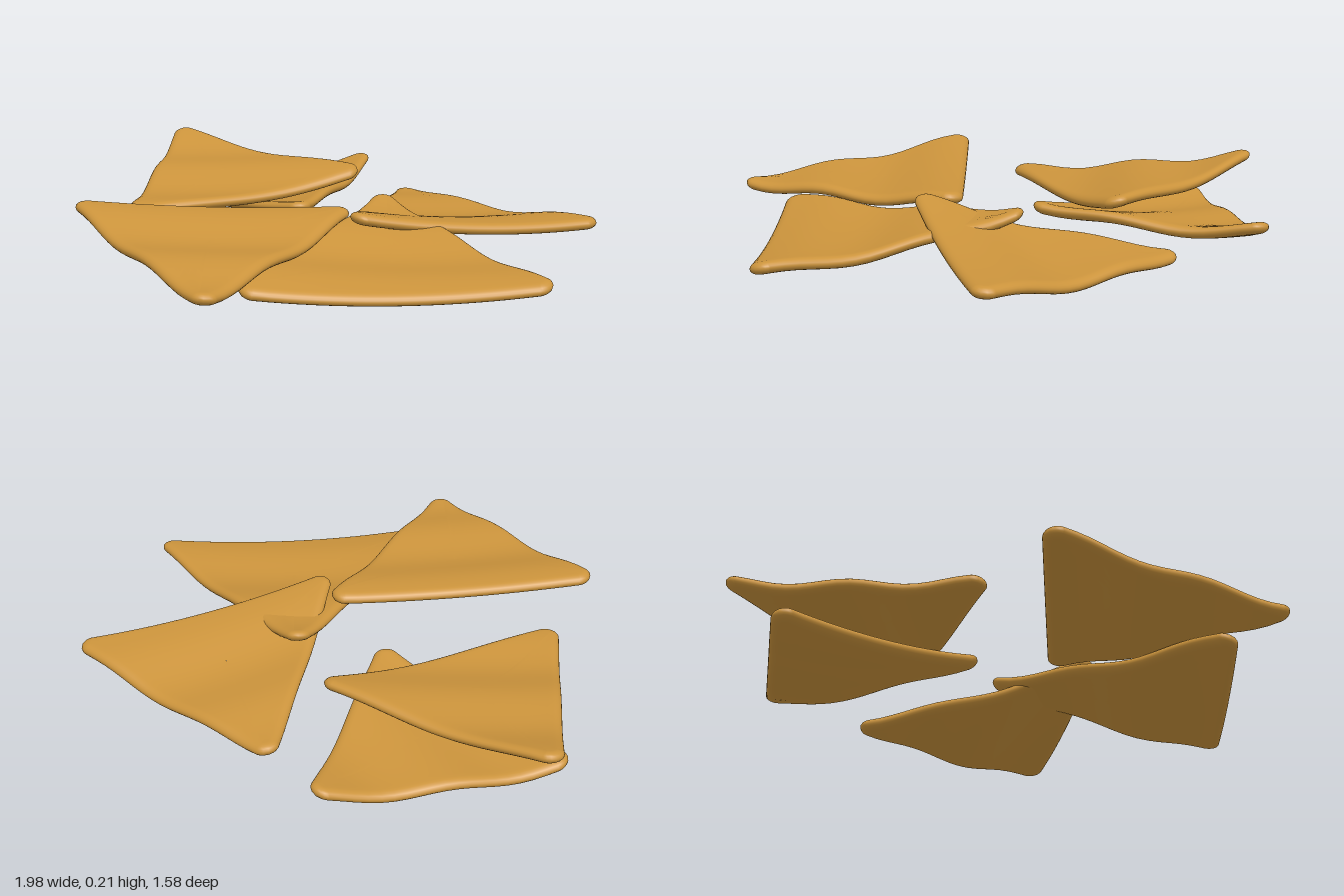
import * as THREE from 'three';

const CORNER = 0.045; // corner radius
const HALF = 0.02;    // half thickness
const RIM = 0.03;     // width of the rounded rim
const WAVELENGTH = 0.4;

// Each chip: three tips [x, height, z], sag of the middle, ripple direction, point where the ripple falls
const CHIPS = [
  { name: 'backRightChip', tips: [[-0.225, 0.035, -0.665], [0.61, 0.08, -0.78], [0.285, 0.165, 0.01]],
    sag: 0.028, dir: [0.95, 0.3], fall: [0.1, -0.6], amp: 0.009 },
  { name: 'rightChip', tips: [[0.085, 0.145, -0.285], [0.985, 0.075, -0.165], [0.43, 0.072, 0.58]],
    sag: 0.028, dir: [0.75, 0.65], fall: [0.35, 0], amp: 0.009 },
  { name: 'frontChip', tips: [[0.18, 0.155, -0.045], [-0.345, 0.185, 0.655], [0.51, 0.11, 0.77]],
    sag: 0.014, dir: [0.8, 0.6], fall: [0.05, 0.42], amp: 0.011 },
  { name: 'leftUpperChip', tips: [[-0.985, 0.192, -0.205], [-0.19, 0.16, -0.41], [-0.41, 0.105, 0.4]],
    sag: 0.014, dir: [0.75, 0.65], fall: [-0.5, 0], amp: 0.011 },
  { name: 'leftLowerChip', tips: [[-0.535, 0.095, -0.745], [-0.11, 0.1, -0.085], [-0.88, 0.045, -0.03]],
    sag: 0.03, dir: [0.1, -1], fall: [-0.5, -0.45], amp: 0.01 },
];

// Height of the chip's middle surface: tilted plane, sagging middle and ripples
function heightRule({ tips, sag, dir, fall, amp }) {
  const [a, b, c] = tips;
  const len = Math.hypot(...dir);
  const ripple = (x, z) =>
    -amp * Math.sin((2 * Math.PI / WAVELENGTH) * ((x - fall[0]) * dir[0] + (z - fall[1]) * dir[1]) / len);
  const base = tips.map(([x, y, z]) => y - ripple(x, z));
  const det = (b[2] - c[2]) * (a[0] - c[0]) + (c[0] - b[0]) * (a[2] - c[2]);
  return (x, z) => {
    const u = ((b[2] - c[2]) * (x - c[0]) + (c[0] - b[0]) * (z - c[2])) / det;
    const v = ((c[2] - a[2]) * (x - c[0]) + (a[0] - c[0]) * (z - c[2])) / det;
    const w = 1 - u - v;
    return u * base[0] + v * base[1] + w * base[2] - 4 * sag * (u * v + v * w + w * u) + ripple(x, z);
  };
}

// Rounded triangle outline as corner-circle points with outward directions
function outline(tips) {
  let pts = tips.map(([x, , z]) => new THREE.Vector2(x, z));
  const mid = pts[0].clone().add(pts[1]).add(pts[2]).divideScalar(3);
  pts = pts.map(p => p.clone().add(mid.clone().sub(p).setLength(CORNER)));
  const u = pts[1].clone().sub(pts[0]), v = pts[2].clone().sub(pts[0]);
  if (u.y * v.x - u.x * v.y < 0) pts.reverse();
  const normals = pts.map((p, i) => {
    const e = pts[(i + 1) % 3].clone().sub(p).normalize();
    return new THREE.Vector2(-e.y, e.x);
  });
  const loop = [];
  for (let i = 0; i < 3; i++) {
    const from = normals[(i + 2) % 3], to = normals[i], next = pts[(i + 1) % 3];
    for (let k = 0; k <= 8; k++) {
      loop.push({ p: pts[i], n: from.clone().lerp(to, k / 8).normalize() });
    }
    for (let k = 1; k < 18; k++) loop.push({ p: pts[i].clone().lerp(next, k / 18), n: to });
  }
  return { loop, mid };
}

function chipGeometry(chip) {
  const { loop, mid } = outline(chip.tips);
  const height = heightRule(chip);
  // Cross-section from the top centre, around the rim, to the bottom centre
  const section = [];
  const inner = 14, rim = 10;
  for (let i = 0; i < inner; i++) section.push({ s: Math.max(i / inner, 0.001), inset: RIM, y: HALF });
  for (let i = 0; i <= rim; i++) {
    const a = Math.PI * (0.5 - i / rim);
    section.push({ s: 1, inset: RIM * (1 - Math.cos(a)), y: HALF * Math.sin(a) });
  }
  for (let i = inner - 1; i >= 0; i--) section.push({ s: Math.max(i / inner, 0.001), inset: RIM, y: -HALF });

  const pos = [], index = [], n = loop.length;
  section.forEach(({ s, inset, y }, i) => {
    loop.forEach((o, j) => {
      const x = mid.x + (o.p.x + o.n.x * (CORNER - inset) - mid.x) * s;
      const z = mid.y + (o.p.y + o.n.y * (CORNER - inset) - mid.y) * s;
      pos.push(x, height(x, z) + y, z);
      if (i + 1 < section.length) {
        const a = i * n + j, b = i * n + (j + 1) % n;
        index.push(a, a + n, b + n, a, b + n, b);
      }
    });
  });
  const geometry = new THREE.BufferGeometry();
  geometry.setAttribute('position', new THREE.Float32BufferAttribute(pos, 3));
  geometry.setIndex(index);
  geometry.computeVertexNormals();
  return geometry;
}

export function createModel() {
  const group = new THREE.Group();
  group.name = 'cornChips';
  const material = new THREE.MeshStandardMaterial({ color: 0xcc943c });
  material.name = 'toastedCorn';
  for (const chip of CHIPS) {
    const mesh = new THREE.Mesh(chipGeometry(chip), material);
    mesh.name = chip.name;
    group.add(mesh);
  }
  // Rest the pile on the ground
  group.position.y = -new THREE.Box3().setFromObject(group, true).min.y;
  return group;
}
